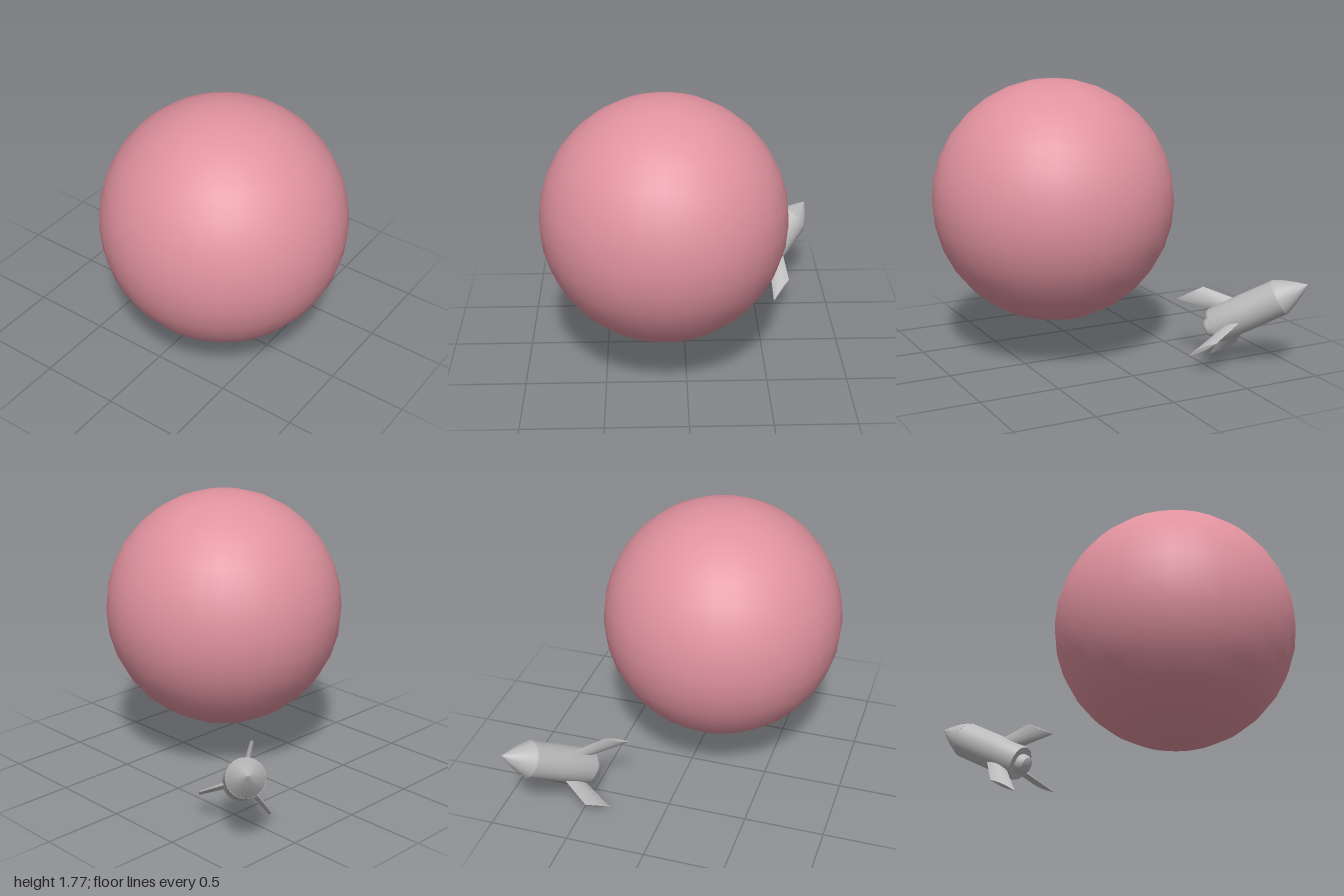
import * as THREE from 'three';
import { toCreasedNormals } from 'three/addons/utils/BufferGeometryUtils.js';

const rose = new THREE.MeshStandardMaterial({ color: 0xe0929e });
rose.name = 'rose';
const grey = new THREE.MeshStandardMaterial({ color: 0xbababa });
grey.name = 'grey';

function add(parent, name, geometry, material) {
  const mesh = new THREE.Mesh(geometry, material);
  mesh.name = name;
  parent.add(mesh);
  return mesh;
}

const lathe = (points) => toCreasedNormals(
  new THREE.LatheGeometry(points.map(([r, y]) => new THREE.Vector2(r, y)), 32), 0.6);

// Swept-back fin with a lens section: x runs outward, y along the rocket
function finGeometry() {
  const g = new THREE.CylinderGeometry(1, 1, 1, 20, 4);
  g.rotateZ(-Math.PI / 2);
  const p = g.attributes.position;
  const mix = THREE.MathUtils.lerp;
  for (let i = 0; i < p.count; i++) {
    const t = p.getX(i) + 0.5;
    const bottom = mix(0.05, -0.165, t);
    const top = mix(0.21, 0.03, t);
    const chord = p.getY(i);
    const half = mix(0.021, 0.012, t);
    p.setXYZ(i, mix(0.085, 0.253, t), mix(bottom, top, (chord + 1) / 2),
      p.getZ(i) * Math.sqrt(Math.max(0, 1 - chord * chord)) * half);
  }
  return toCreasedNormals(g, 0.9);
}

export function createModel() {
  const model = new THREE.Group();
  model.name = 'planetAndRocket';

  // Planet
  const planet = add(model, 'planet', new THREE.SphereGeometry(0.76, 32, 16), rose);
  planet.position.set(-0.132, 1.033, 0.236);

  // Rocket, built upright from its tail and then aimed along its flight line
  const rocket = new THREE.Group();
  rocket.name = 'rocket';
  model.add(rocket);
  add(rocket, 'body', lathe([[0, 0], [0.108, 0], [0.113, 0.015], [0.115, 0.23], [0.114, 0.46], [0, 0.46]]), grey);
  add(rocket, 'noseCone', lathe([[0, 0.455], [0.115, 0.455], [0.082, 0.525], [0.042, 0.59], [0, 0.648]]), grey);
  add(rocket, 'nozzle', lathe([[0, -0.062], [0.035, -0.059], [0.055, -0.048], [0.065, -0.028], [0.065, 0.01]]), grey);

  // Three fins around the tail
  const fin = finGeometry();
  for (let i = 0; i < 3; i++) {
    add(rocket, 'fin' + (i + 1), fin, grey).rotation.y = i * Math.PI * 2 / 3;
  }

  // Aim the rocket from tail to tip
  const tail = new THREE.Vector3(0.511, 0.268, -0.572);
  const up = new THREE.Vector3(0.885, 0.575, -1.0).sub(tail).normalize();
  const side = new THREE.Vector3(-0.523, 0.84, 0.144);
  side.addScaledVector(up, -side.dot(up)).normalize();
  const across = new THREE.Vector3().crossVectors(side, up);
  rocket.quaternion.setFromRotationMatrix(new THREE.Matrix4().makeBasis(side, up, across));
  rocket.position.copy(tail);

  return model;
}
